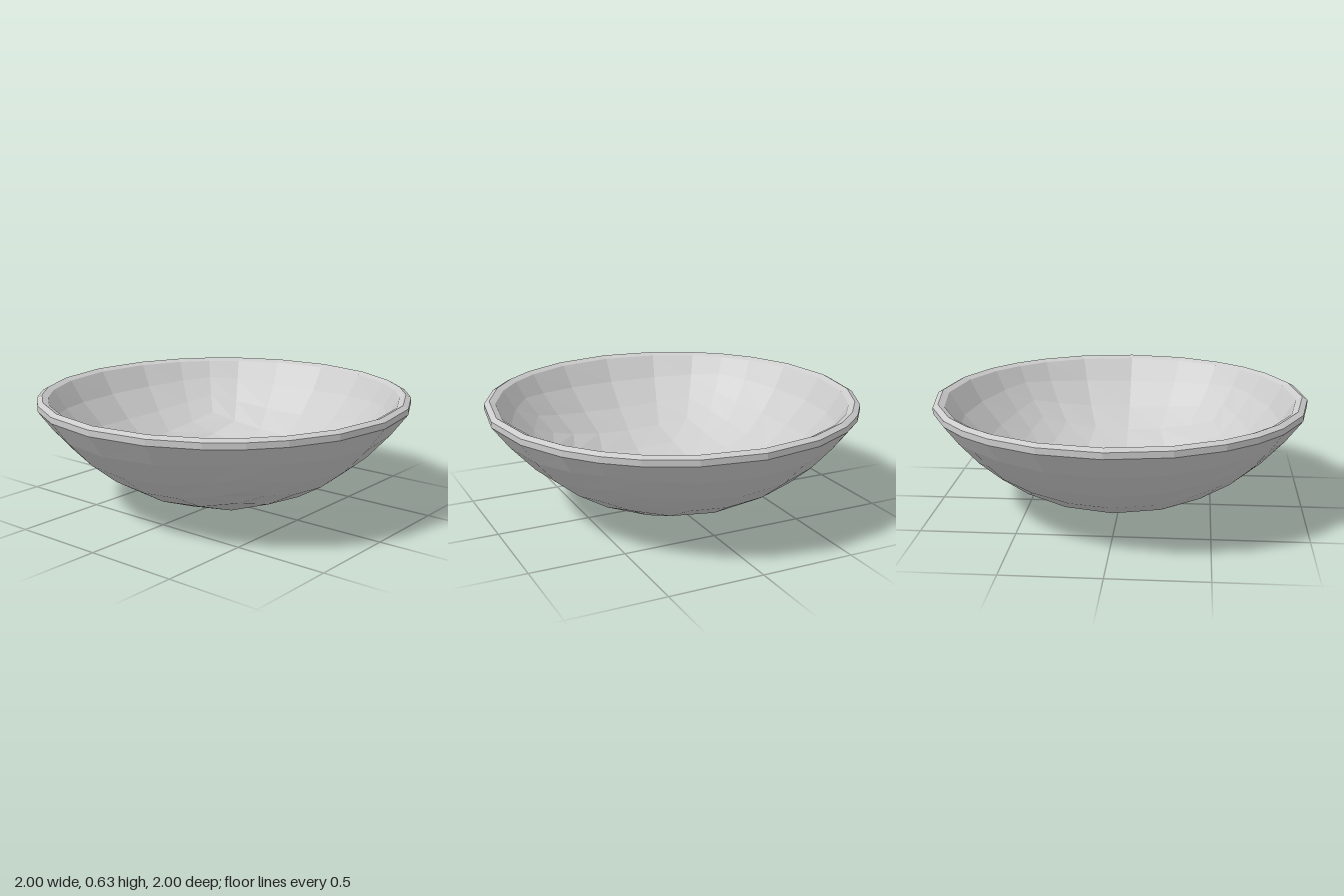
import * as THREE from 'three';

const SEG = 3; // grid cells from the axis to a corner of the cube
// Polar angles (from straight down) of the grid points along the main axes
const ANGLES = [0, 1 / 3, 2 / 3, 1, 1.5, 3, Infinity].map(Math.atan);

// Profiles [radius, height], one point per angle
const OUTER = [[0, 0], [0.28, 0.043], [0.5, 0.128], [0.64, 0.21], [0.78, 0.32], [0.91, 0.46], [1, 0.58]];
const INNER = [[0, 0.04], [0.265, 0.08], [0.47, 0.163], [0.605, 0.245], [0.735, 0.35], [0.86, 0.485], [0.94, 0.612]];
const RIM = [[1, 0.58], [1, 0.612], [0.972, 0.627], [0.94, 0.612]];

// Smooth lookup of a profile at a polar angle
function profileAt(curve, theta) {
  let i = 0;
  while (i < ANGLES.length - 2 && theta > ANGLES[i + 1]) i++;
  const f = (theta - ANGLES[i]) / (ANGLES[i + 1] - ANGLES[i]);
  return curve.getPoint(Math.min(1, (i + f) / (ANGLES.length - 1)));
}

// Lower half of a gridded cube, rounded into a bowl surface
function shellGeometry(profile, flip) {
  const curve = new THREE.CatmullRomCurve3(
    profile.map(([r, y]) => new THREE.Vector3(r, y, 0)), false, 'catmullrom');
  const geo = new THREE.BoxGeometry(2, 1, 2, 2 * SEG, SEG, 2 * SEG).translate(0, -0.5, 0);

  // Drop the open top face
  const top = geo.groups[2];
  const index = Array.from(geo.index.array);
  index.splice(top.start, top.count);
  if (flip) index.reverse();
  geo.setIndex(index);
  geo.clearGroups();

  const pos = geo.attributes.position;
  for (let i = 0; i < pos.count; i++) {
    const x = pos.getX(i), z = pos.getZ(i);
    const d = Math.hypot(x, z);
    const p = profileAt(curve, Math.atan2(d, -pos.getY(i)));
    const s = d > 1e-6 ? p.x / d : 0;
    pos.setXYZ(i, x * s, p.y, z * s);
  }
  geo.computeVertexNormals();
  return geo;
}

// Chamfered lip following the unevenly spaced sides of the shell
function rimGeometry() {
  const angles = [];
  for (let q = 0; q < 4; q++)
    for (let k = -SEG; k < SEG; k++) angles.push(q * Math.PI / 2 + Math.atan(k / SEG));
  const n = angles.length, verts = [], index = [];
  for (const [r, y] of RIM)
    for (const a of angles) verts.push(r * Math.sin(a), y, r * Math.cos(a));
  for (let j = 0; j < RIM.length - 1; j++) {
    for (let i = 0; i < n; i++) {
      const a = j * n + i, b = j * n + (i + 1) % n;
      index.push(a, b, b + n, a, b + n, a + n);
    }
  }
  const geo = new THREE.BufferGeometry();
  geo.setAttribute('position', new THREE.Float32BufferAttribute(verts, 3));
  geo.setIndex(index);
  geo.computeVertexNormals();
  return geo;
}

export function createModel() {
  const group = new THREE.Group();
  group.name = 'bowl';
  const material = new THREE.MeshStandardMaterial({ color: 0xcccccc, flatShading: true });
  const add = (name, geo) => {
    const mesh = new THREE.Mesh(geo, material);
    mesh.name = name;
    group.add(mesh);
  };
  add('outerShell', shellGeometry(OUTER, false));
  add('innerShell', shellGeometry(INNER, true));
  add('rim', rimGeometry());
  return group;
}
